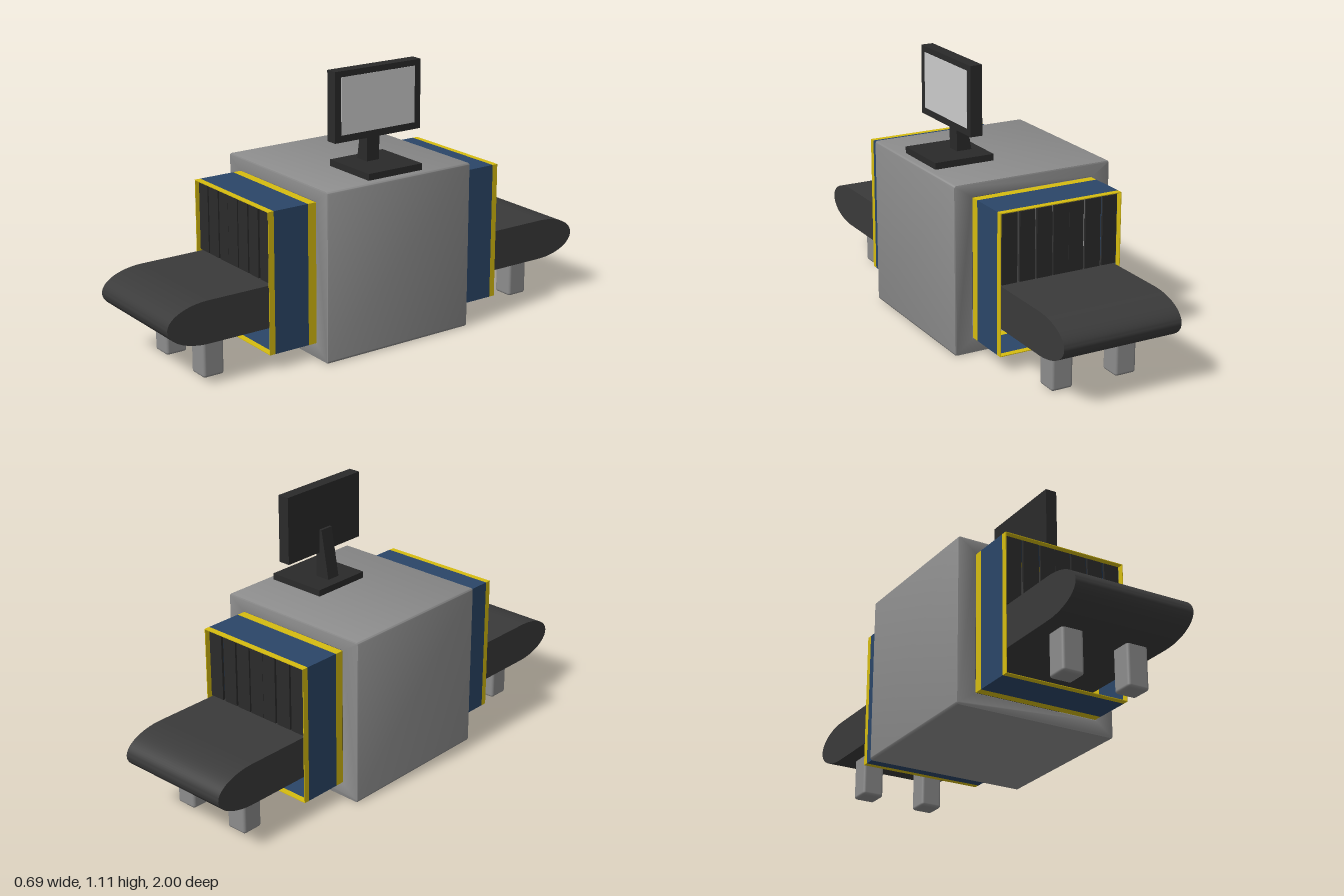
import * as THREE from 'three';
import { toCreasedNormals } from 'three/addons/utils/BufferGeometryUtils.js';
import { RoundedBoxGeometry } from 'three/addons/geometries/RoundedBoxGeometry.js';

const paint = (color) => new THREE.MeshStandardMaterial({ color });
const grey = paint(0x8c8c8c);
const beltDark = paint(0x3a3a3a);
const black = paint(0x2a2a2a);
const blue = paint(0x2b4668);
const yellow = paint(0xd6bc10);
const screenGrey = paint(0xcccccc);

function add(parent, name, geometry, material, x = 0, y = 0, z = 0) {
  const mesh = new THREE.Mesh(geometry, material);
  mesh.name = name;
  mesh.position.set(x, y, z);
  parent.add(mesh);
  return mesh;
}

// Box given by its limits on each axis
function addBox(parent, name, material, [x0, x1], [y0, y1], [z0, z1], radius = 0) {
  const size = [x1 - x0, y1 - y0, z1 - z0];
  const geometry = radius
    ? new RoundedBoxGeometry(...size, 3, radius)
    : new THREE.BoxGeometry(...size);
  return add(parent, name, geometry, material, (x0 + x1) / 2, (y0 + y1) / 2, (z0 + z1) / 2);
}

// Rectangle outline, with rounded corners when r > 0
function rectangle(target, w, y0, y1, r = 0) {
  target.moveTo(-w + r, y0);
  target.lineTo(w - r, y0);
  if (r) target.absarc(w - r, y0 + r, r, -Math.PI / 2, 0);
  target.lineTo(w, y1 - r);
  if (r) target.absarc(w - r, y1 - r, r, 0, Math.PI / 2);
  target.lineTo(-w + r, y1);
  if (r) target.absarc(-w + r, y1 - r, r, Math.PI / 2, Math.PI);
  target.lineTo(-w, y0 + r);
  if (r) target.absarc(-w + r, y0 + r, r, Math.PI, Math.PI * 1.5);
  return target;
}

// Rectangular tube running along z
function tunnel(outer, inner, z0, z1, corner = 0, bevel = 0) {
  const shape = rectangle(new THREE.Shape(), ...outer, corner);
  shape.holes.push(rectangle(new THREE.Path(), ...inner));
  const geometry = new THREE.ExtrudeGeometry(shape, {
    depth: z1 - z0 - 2 * bevel,
    bevelEnabled: bevel > 0,
    bevelSize: bevel,
    bevelThickness: bevel,
    bevelOffset: -bevel,
    bevelSegments: 2,
    curveSegments: 4,
  });
  geometry.translate(0, 0, z0 + bevel);
  return geometry;
}

export function createModel() {
  const model = new THREE.Group();
  model.name = 'baggageScanner';

  // Main housing with the tunnel through it
  add(model, 'housing',
    toCreasedNormals(tunnel([0.347, 0, 0.697], [0.266, 0.063, 0.638], -0.348, 0.348, 0.012, 0.006), 0.6), grey);

  // Conveyor belt with elliptical ends
  const profile = new THREE.Shape();
  profile.moveTo(-0.82, 0.17);
  profile.lineTo(0.82, 0.17);
  profile.absellipse(0.82, 0.256, 0.18, 0.086, -Math.PI / 2, Math.PI / 2);
  profile.lineTo(-0.82, 0.342);
  profile.absellipse(-0.82, 0.256, 0.18, 0.086, Math.PI / 2, Math.PI * 1.5);
  const belt = new THREE.ExtrudeGeometry(profile, { depth: 0.506, bevelEnabled: false, curveSegments: 20 });
  belt.translate(0, 0, -0.253).rotateY(-Math.PI / 2);
  add(model, 'conveyorBelt', toCreasedNormals(belt, 0.6), beltDark);

  // Hoods, curtains and legs at both ends
  const bands = [
    ['innerTrim', yellow, 0.345, 0.382],
    ['hood', blue, 0.382, 0.537],
    ['outerTrim', yellow, 0.537, 0.562],
  ];
  const flapEdges = [
    [-0.254, -0.19], [-0.181, -0.113], [-0.104, -0.04], [-0.039, 0.028],
    [0.035, 0.101], [0.11, 0.175], [0.187, 0.252],
  ];
  for (const side of [1, -1]) {
    const end = new THREE.Group();
    end.name = side > 0 ? 'frontEnd' : 'backEnd';
    model.add(end);
    const along = (a, b) => (side > 0 ? [a, b] : [-b, -a]);
    for (const [name, material, a, b] of bands) {
      add(end, name, tunnel([0.266, 0.063, 0.638], [0.263, 0.066, 0.635], ...along(a, b)), material);
    }
    for (const edges of flapEdges) {
      addBox(end, 'curtainFlap', black, edges, [0.348, 0.628], along(0.54, 0.55));
    }
    for (const x of [-0.14, 0.14]) {
      addBox(end, 'leg', grey, [x - 0.046, x + 0.046], [0, 0.19], along(0.718, 0.81), 0.012);
    }
  }

  // Monitor on its stand, facing the model's left
  const monitor = new THREE.Group();
  monitor.name = 'monitor';
  model.add(monitor);
  addBox(monitor, 'monitorBase', black, [0.055, 0.313], [0.697, 0.724], [-0.13, 0.13]);
  const stand = new THREE.Shape([
    [0.1, 0.722], [0.166, 0.722], [0.166, 0.84], [0.152, 0.93], [0.136, 0.93],
  ].map(([x, y]) => new THREE.Vector2(x, y)));
  const standGeometry = new THREE.ExtrudeGeometry(stand, { depth: 0.06, bevelEnabled: false });
  add(monitor, 'monitorStand', standGeometry, black, 0, 0, -0.03);
  addBox(monitor, 'monitorCase', black, [0.148, 0.199], [0.831, 1.113], [-0.207, 0.207]);
  addBox(monitor, 'screen', screenGrey, [0.19, 0.2], [0.859, 1.089], [-0.178, 0.178]);

  return model;
}
